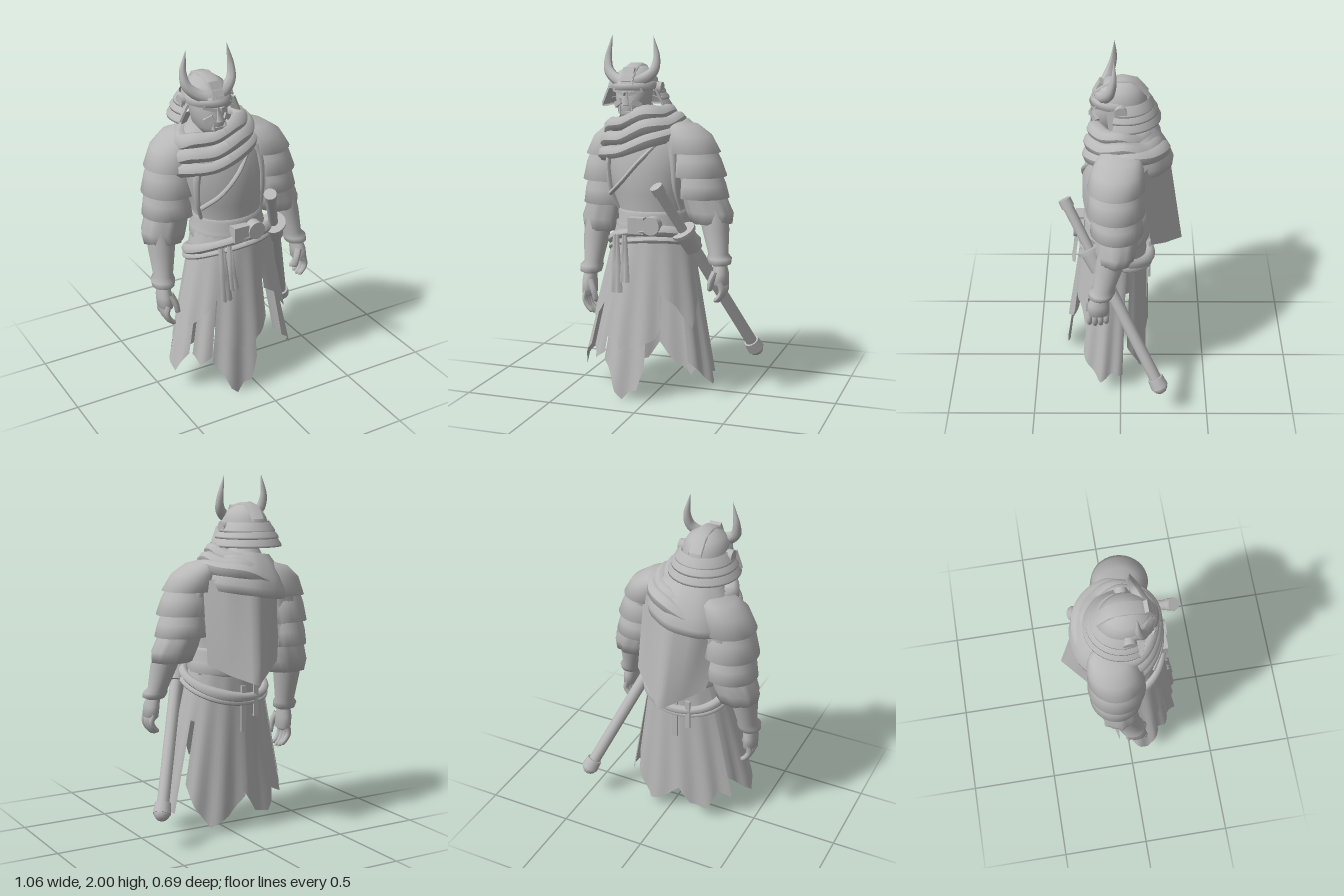
import * as THREE from 'three';

const V = (p) => new THREE.Vector3(...p);
const rad = THREE.MathUtils.degToRad;
const lerp = THREE.MathUtils.lerp;

export function createModel() {
  const root = new THREE.Group();
  const grey = new THREE.MeshStandardMaterial({ color: 0xb8b8b8, side: THREE.DoubleSide });
  grey.name = 'plain grey';

  const add = (name, geometry, pos = [0, 0, 0], rot = [0, 0, 0]) => {
    const mesh = new THREE.Mesh(geometry, grey);
    mesh.name = name;
    mesh.position.set(...pos);
    mesh.rotation.set(...rot);
    root.add(mesh);
    return mesh;
  };
  const box = (name, size, pos, rot) => add(name, new THREE.BoxGeometry(...size), pos, rot);

  // Smooth skin over rows of points, optionally closed around
  const surface = (name, rows, closed = false) => {
    const n = rows[0].length, index = [];
    for (let i = 0; i < rows.length - 1; i++) {
      for (let j = 0; j < (closed ? n : n - 1); j++) {
        const k = (j + 1) % n, a = i * n, c = a + n;
        index.push(a + j, c + j, a + k, a + k, c + j, c + k);
      }
    }
    const g = new THREE.BufferGeometry();
    g.setAttribute('position', new THREE.Float32BufferAttribute(rows.flat(2), 3));
    g.setIndex(index);
    g.computeVertexNormals();
    return add(name, g);
  };

  // Rings [x, y, z, rx, rz] skinned together; angle 0 is the front, 90 is +x
  const shell = (name, sections, a0 = 0, a1 = 360, ripple = 0, map = (p) => p, seg = 24) => {
    const closed = a1 - a0 === 360;
    return surface(name, sections.map(([x, y, z, rx, rz]) =>
      Array.from({ length: closed ? seg : seg + 1 }, (_, j) => {
        const a = rad(lerp(a0, a1, j / seg)), w = 1 + ripple * Math.sin(a * 9);
        return map([x + rx * w * Math.sin(a), y, z + rz * w * Math.cos(a)]);
      })), closed);
  };

  // Tube through points, with its radius scaled along its length
  const tube = (name, points, r, scale = () => 1, closed = false, seg = 24) => {
    const curve = new THREE.CatmullRomCurve3(points.map(V), closed);
    const g = new THREE.TubeGeometry(curve, seg, r, 8, closed);
    const pos = g.attributes.position, v = new THREE.Vector3();
    for (let i = 0; i < pos.count; i++) {
      const t = Math.floor(i / 9) / seg, c = curve.getPointAt(t);
      v.fromBufferAttribute(pos, i).sub(c).multiplyScalar(scale(t)).add(c);
      pos.setXYZ(i, v.x, v.y, v.z);
    }
    g.computeVertexNormals();
    return add(name, g);
  };
  const ring = (name, [x, y, z], rx, rz, r, slopeX, slopeZ, wave = 0) =>
    tube(name, Array.from({ length: 20 }, (_, i) => {
      const a = i / 20 * Math.PI * 2, s = Math.sin(a), c = Math.cos(a);
      return [x + rx * s, y + slopeX * s + slopeZ * c + wave * Math.sin(a * 5), z + rz * c];
    }), r, (t) => 1 + 0.15 * Math.sin(t * Math.PI * 6), true, 60);
  const rod = (name, p, q, r0, r1 = r0, seg = 12) => {
    const a = V(p), d = V(q).sub(a);
    const mesh = add(name, new THREE.CylinderGeometry(r1, r0, d.length(), seg), a.clone().addScaledVector(d, 0.5).toArray());
    mesh.quaternion.setFromUnitVectors(new THREE.Vector3(0, 1, 0), d.normalize());
    return mesh;
  };

  // Body, with jacket edges folded at the armholes
  shell('torso', [[-0.15, 1.62, -0.02, 0.07, 0.07], [-0.14, 1.53, -0.03, 0.12, 0.11], [-0.11, 1.46, -0.02, 0.22, 0.17],
    [-0.09, 1.4, 0, 0.25, 0.19], [-0.08, 1.27, 0.015, 0.24, 0.198], [-0.07, 1.14, 0.03, 0.215, 0.185],
    [-0.05, 1.03, 0.03, 0.19, 0.165], [-0.05, 0.9, 0.03, 0.2, 0.17]]);
  tube('chestStrap', [[-0.27, 1.13, 0.14], [-0.18, 1.21, 0.195], [-0.08, 1.32, 0.206], [0.02, 1.43, 0.15]], 0.013);
  tube('leftArmholeFold', [[0.08, 1.43, 0.12], [0.1, 1.32, 0.14], [0.11, 1.18, 0.14], [0.13, 1.05, 0.1]], 0.025, (t) => 1 - 0.6 * t);
  tube('rightArmholeFold', [[-0.27, 1.38, 0.12], [-0.285, 1.28, 0.12], [-0.275, 1.15, 0.11], [-0.24, 1.04, 0.08]], 0.025, (t) => 1 - 0.6 * t);

  // Scarf: neck folds dropping towards the right shoulder, and the cowl behind
  ring('scarfUpperFold', [-0.135, 1.53, 0], 0.165, 0.14, 0.045, 0.05, 0.02, 0.008);
  ring('scarfMiddleFold', [-0.125, 1.47, -0.015], 0.2, 0.172, 0.048, 0.065, 0.005, 0.01);
  ring('scarfLowerFold', [-0.12, 1.42, -0.03], 0.23, 0.2, 0.043, 0.08, -0.02, 0.006);
  shell('cowl', [[-0.14, 1.58, -0.04, 0.14, 0.13], [-0.13, 1.53, -0.04, 0.19, 0.175],
    [-0.12, 1.46, -0.04, 0.235, 0.22], [-0.12, 1.39, -0.04, 0.26, 0.25], [-0.12, 1.345, -0.04, 0.255, 0.245],
    [-0.12, 1.34, -0.04, 0.23, 0.22]], 95, 265, 0.008, ([x, y, z]) => [x, y + 0.15 * (x + 0.12), z]);

  // Cape: folded cloth falling to a point
  const capeTop = [[0.16, 1.43, -0.1], [0.05, 1.45, -0.2], [-0.08, 1.46, -0.26], [-0.24, 1.45, -0.22], [-0.35, 1.42, -0.1]];
  const capeHem = [[0.17, 0.98, -0.17], [0.07, 0.92, -0.25], [-0.05, 0.87, -0.35], [-0.16, 0.92, -0.27], [-0.26, 0.97, -0.2]];
  surface('cape', Array.from({ length: 7 }, (_, i) => Array.from({ length: 17 }, (_, j) => {
    const k = Math.min(3, Math.floor(j / 4)), f = j / 4 - k, t = i / 6;
    return [0, 1, 2].map((n) => lerp(lerp(capeTop[k][n], capeTop[k + 1][n], f), lerp(capeHem[k][n], capeHem[k + 1][n], f), t));
  })));

  // Skirt panels lying on one flaring cone, each with its own hem heights
  const panel = (name, a0, a1, top, hem, off = 0, sharp = 4) => {
    const cols = (hem.length - 1) * sharp;
    surface(name, Array.from({ length: 9 }, (_, i) => Array.from({ length: cols + 1 }, (_, j) => {
      const k = Math.min(hem.length - 2, Math.floor(j / sharp));
      const y = lerp(top, lerp(hem[k], hem[k + 1], j / sharp - k), i / 8), t = (0.95 - y) / 0.95;
      const a = rad(lerp(a0, a1, j / cols)), w = off + 0.012 * t * Math.sin(a * 14);
      return [-0.04 - 0.02 * t + (0.2 + 0.2 * t + w) * Math.sin(a), y, 0.03 + 0.06 * t + (0.17 + 0.07 * t + w) * Math.cos(a)];
    })));
  };
  panel('underSkirt', 0, 360, 0.97, [0.66, 0.62, 0.66, 0.62, 0.66, 0.62, 0.66, 0.62, 0.66], -0.01, 8);
  panel('frontLongPanel', -37, 7, 0.9, [0.2, 0.16, 0.12, 0.04, 0, 0.05, 0.06, 0.2], 0, 2);
  panel('frontApron', -36, 22, 0.96, [0.34, 0.33, 0.3, 0.33, 0.28, 0.32, 0.28, 0.31, 0.29, 0.33, 0.34, 0.36, 0.42], 0.018, 2);
  panel('leftFrontFlap', 22, 72, 0.96, [0.6, 0.54, 0.41, 0.56], 0.025);
  panel('leftSidePanel', 50, 113, 0.93, [0.22, 0.15, 0.08, 0.13, 0.11]);
  panel('leftBackPanel', 120, 184, 0.95, [0.28, 0.15, 0.03, 0.09, 0.2], 0.005);
  panel('rightBackPanel', 180, 236, 0.95, [0.25, 0.1, 0.08, 0.2, 0.16], 0.012);
  panel('rightSidePanel', -124, -64, 0.93, [0.3, 0.2, 0.12, 0.26], 0.015);
  panel('rightFrontPanel', -62, -38, 0.95, [0.25, 0.19, 0.24], 0);
  panel('rightFrontFlap', -85, -32, 0.96, [0.55, 0.42, 0.5, 0.62], 0.025);

  // Belts, buckle and hanging sashes
  shell('waistSash', [[-0.05, 1.05, 0.03, 0.19, 0.165], [-0.05, 1.03, 0.03, 0.205, 0.182], [-0.05, 0.98, 0.03, 0.2, 0.178],
    [-0.05, 0.97, 0.03, 0.215, 0.193], [-0.05, 0.91, 0.03, 0.218, 0.195], [-0.05, 0.89, 0.03, 0.2, 0.18]]);
  ring('hipBelt', [-0.045, 0.86, 0.03], 0.24, 0.2, 0.028, 0.025, 0.085);
  ring('hipCord', [-0.045, 0.82, 0.03], 0.25, 0.2, 0.017, 0.025, 0.075);
  add('buckle', new THREE.CylinderGeometry(0.05, 0.05, 0.06, 16), [0.01, 0.98, 0.235], [Math.PI / 2, 0, 0]);
  box('buckleKnot', [0.09, 0.09, 0.07], [-0.08, 0.975, 0.22]);
  [[-0.2, 0.6, 0.07], [-0.15, 0.66, 0.06]].forEach(([x, y, w]) =>
    surface('hangingSash', [[0.92, 0.235, 0.5], [0.75, 0.255, 0.8], [y, 0.27, 1]].map(([h, z, s]) =>
      [-0.5, -0.2, 0, 0.2, 0.5].map((f, i) => [x + (0.9 - h) * 0.05 + f * w * s, h, z + (i % 2) * 0.02]))));
  [[-0.06, 0.58], [-0.14, 0.66]].forEach(([x, y]) =>
    box('backTassel', [0.03, 0.84 - y, 0.012], [x, (0.84 + y) / 2, -0.168]));

  // Arms: designed at +x, the other side mirrored and hanging lower
  const leftMap = (p) => p;
  const rightMap = ([x, y, z]) => [-x - 0.15 + 0.12 * (1.3 - y), y - 0.05 - 0.14 * (1.3 - y), z - 0.1];
  for (const [side, map] of [['left', leftMap], ['right', rightMap]]) {
    const part = (name, sections, a0, a1, ripple) => shell(side + name, sections, a0, a1, ripple, map);
    part('ShoulderPlateTop', [[0.06, 1.54, 0, 0.02, 0.05], [0.105, 1.515, 0.005, 0.09, 0.11], [0.145, 1.46, 0.015, 0.13, 0.14],
      [0.175, 1.37, 0.025, 0.155, 0.155], [0.17, 1.365, 0.025, 0.12, 0.12]], -35, 215);
    part('ShoulderPlateMiddle', [[0.18, 1.42, 0.02, 0.1, 0.11], [0.195, 1.33, 0.025, 0.138, 0.142],
      [0.205, 1.24, 0.025, 0.162, 0.158], [0.2, 1.235, 0.025, 0.125, 0.125]], -35, 215);
    part('ShoulderPlateLower', [[0.21, 1.28, 0.02, 0.115, 0.115], [0.222, 1.19, 0.02, 0.14, 0.138],
      [0.228, 1.12, 0.02, 0.153, 0.145], [0.225, 1.115, 0.02, 0.12, 0.11]], -35, 215);
    part('Sleeve', [[0.15, 1.42, 0, 0.1, 0.12], [0.2, 1.25, 0.02, 0.12, 0.12], [0.25, 1.1, 0.02, 0.125, 0.115],
      [0.275, 1.04, 0.025, 0.13, 0.11], [0.285, 0.98, 0.03, 0.115, 0.1], [0.3, 0.98, 0.04, 0.05, 0.05]], 0, 360, 0.06);
    part('Forearm', [[0.3, 1.06, 0.04, 0.08, 0.08], [0.32, 0.95, 0.06, 0.075, 0.078], [0.345, 0.82, 0.09, 0.055, 0.06],
      [0.355, 0.8, 0.1, 0.068, 0.072], [0.36, 0.77, 0.11, 0.062, 0.066], [0.36, 0.76, 0.11, 0.04, 0.045]]);
    part('Palm', [[0.36, 0.78, 0.11, 0.035, 0.04], [0.37, 0.72, 0.12, 0.042, 0.06], [0.375, 0.66, 0.125, 0.04, 0.063],
      [0.37, 0.645, 0.125, 0.01, 0.02]]);
    for (let i = 0; i < 4; i++) {
      const z = 0.08 + i * 0.031, drop = [0.015, 0.003, 0, 0.008][i];
      tube(side + 'Finger', [[0.375, 0.68, z], [0.39, 0.63, z], [0.375, 0.585 + drop, z], [0.345, 0.557 + drop, z]].map(map),
        0.019, (t) => (t === 1 ? 0 : 1 - 0.3 * t), false, 10);
    }
    tube(side + 'Thumb', [[0.35, 0.73, 0.16], [0.33, 0.68, 0.175], [0.32, 0.62, 0.17]].map(map),
      0.022, (t) => (t === 1 ? 0 : 1 - 0.3 * t), false, 10);
  }

  // Head and face mask
  const cx = -0.165;
  shell('faceMask', [[cx, 1.75, 0.02, 0.1, 0.11], [cx, 1.68, 0.03, 0.1, 0.115], [cx, 1.64, 0.035, 0.095, 0.125],
    [cx, 1.58, 0.04, 0.08, 0.12], [cx, 1.54, 0.05, 0.05, 0.09], [cx, 1.53, 0.05, 0.01, 0.02]]);
  add('nose', new THREE.ConeGeometry(0.025, 0.09, 4), [cx, 1.665, 0.15], [-0.2, Math.PI / 4, 0]);
  box('mouth', [0.08, 0.014, 0.02], [cx, 1.585, 0.155]);
  for (const s of [-1, 1]) {
    box('brow', [0.08, 0.02, 0.03], [cx + s * 0.045, 1.695, 0.135], [0, s * 0.35, s * 0.3]);
    box('cheek', [0.055, 0.03, 0.03], [cx + s * 0.05, 1.635, 0.135], [0, s * 0.5, -s * 0.5]);
    add('fang', new THREE.ConeGeometry(0.01, 0.045, 6), [cx + s * 0.035, 1.605, 0.16]);
    // Horns and helmet ear discs
    tube('horn', [[0.035, 1.745, 0.11], [0.085, 1.765, 0.085], [0.132, 1.81, 0.06], [0.142, 1.88, 0.04], [0.13, 1.95, 0.035],
      [0.12, 2, 0.035]].map(([x, y, z]) => [cx - 0.007 + s * x, y, z]), 0.034, (t) => 1 - t ** 1.8);
    add('earDisc', new THREE.CylinderGeometry(0.035, 0.035, 0.04, 12), [cx + s * 0.135, 1.71, 0], [0, 0, Math.PI / 2]);
    box('earFlap', [0.012, 0.1, 0.06], [cx + s * 0.15, 1.665, 0.04], [0, s * 0.3, s * 0.45]);
  }

  // Helmet dome, crest, brim and tiered neck guard
  shell('helmetDome', [[cx, 1.835, -0.01, 0.005, 0.005], [cx, 1.83, -0.01, 0.05, 0.06], [cx, 1.8, 0, 0.095, 0.11],
    [cx, 1.76, 0, 0.118, 0.137], [cx, 1.71, 0, 0.125, 0.145]]);
  surface('helmetCrest', [[1.74, 0.155], [1.79, 0.135], [1.83, 0.075], [1.848, -0.01], [1.83, -0.09], [1.76, -0.15]].map(([y, z]) =>
    [[-0.037, -0.02], [-0.033, 0], [0.033, 0], [0.037, -0.02]].map(([x, d]) => [cx + x, y + d, z])));
  box('crestMount', [0.065, 0.085, 0.03], [cx, 1.785, 0.12], [-0.5, 0, 0]);
  shell('helmetBrim', [[cx, 1.75, 0, 0.12, 0.14], [cx, 1.735, 0.005, 0.13, 0.155], [cx, 1.705, 0.005, 0.132, 0.165],
    [cx, 1.705, 0, 0.12, 0.14]], -85, 85);
  [[1.74, 1.685, 0.125, 0.158], [1.695, 1.65, 0.15, 0.178], [1.66, 1.605, 0.165, 0.195]].forEach(([y0, y1, r0, r1]) =>
    shell('neckGuardTier', [[cx, y0, -0.02, r0, r0 + 0.01], [cx, y1 + 0.012, -0.02, r1, r1 + 0.005], [cx, y1, -0.02, r1, r1 + 0.005],
      [cx, y1, -0.02, r1 - 0.03, r1 - 0.025]], 70, 290));

  // Sheathed sword slung through the belt
  const tip = [0.06, 1.21, 0.31], butt = [0.49, 0.19, -0.23];
  const at = (t) => tip.map((v, i) => lerp(v, butt[i], t));
  rod('swordPommel', at(0), at(0.04), 0.036, 0.036);
  rod('swordHandle', at(0.03), at(0.25), 0.03, 0.027);
  rod('swordGuard', at(0.25), at(0.265), 0.07, 0.07, 20);
  rod('scabbardCollar', at(0.265), at(0.36), 0.058, 0.05);
  rod('scabbard', at(0.27), at(0.97), 0.034, 0.034);
  rod('scabbardCap', at(0.94), at(0.99), 0.045, 0.05);
  add('scabbardEnd', new THREE.SphereGeometry(0.046, 12, 8), at(0.985));

  return root;
}
